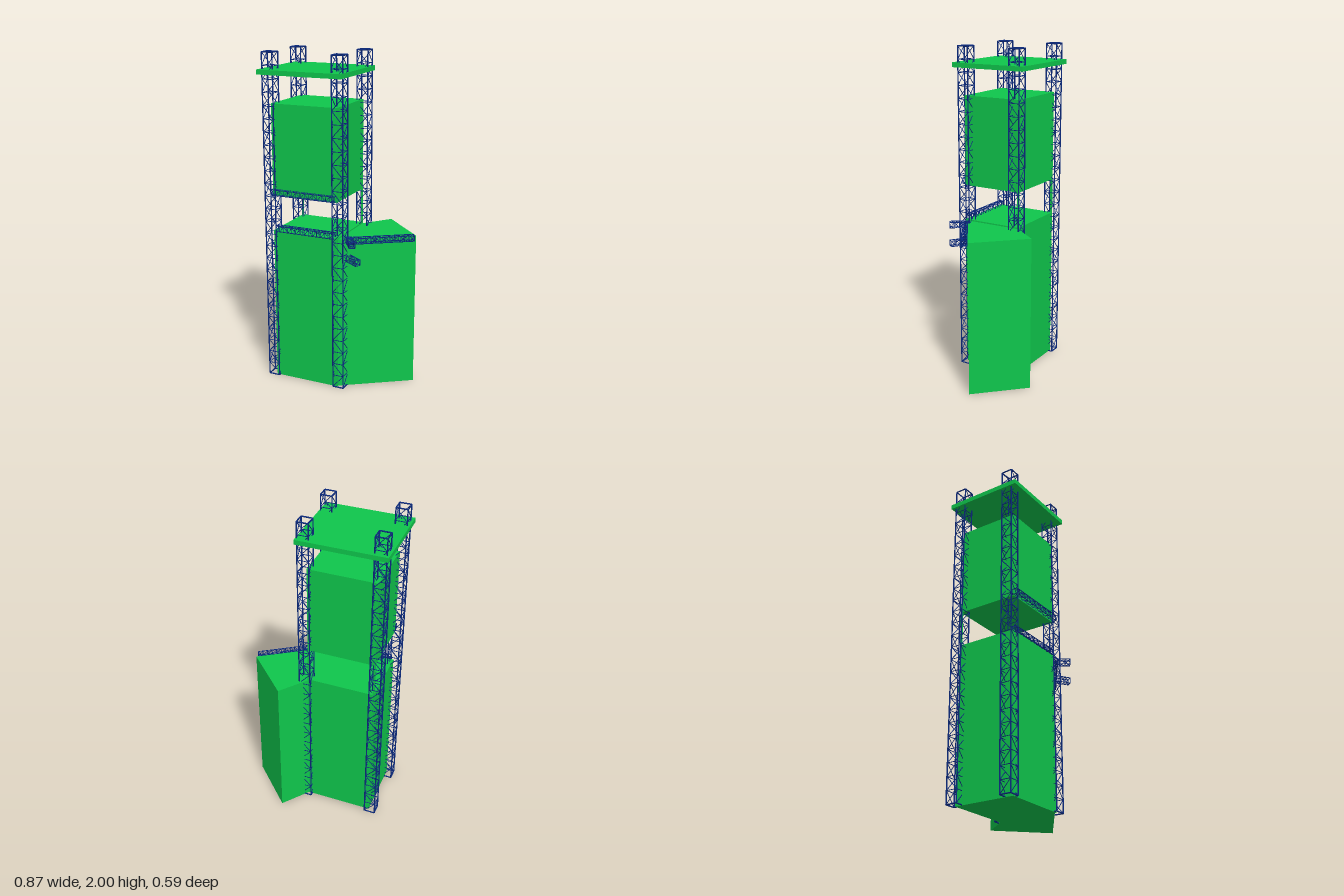
import * as THREE from 'three';
import { mergeGeometries } from 'three/addons/utils/BufferGeometryUtils.js';

const blue = new THREE.MeshStandardMaterial({ color: 0x0a2a80 });
const green = new THREE.MeshStandardMaterial({ color: 0x0fc64c, flatShading: true });
const V = (x, y, z) => new THREE.Vector3(x, y, z);

// Round bar between two points
function bar(a, b, r, sides = 6) {
  const d = b.clone().sub(a);
  const g = new THREE.CylinderGeometry(r, r, d.length(), sides);
  g.applyQuaternion(new THREE.Quaternion().setFromUnitVectors(V(0, 1, 0), d.normalize()));
  const m = a.clone().add(b).multiplyScalar(0.5);
  return g.translate(m.x, m.y, m.z);
}

// Square lattice truss from a to b: four chords, rungs and zigzag braces
function truss(name, a, b, width, cells, chordR, braceR) {
  const dir = b.clone().sub(a).normalize();
  const u = Math.abs(dir.y) > 0.9 ? V(1, 0, 0) : V(0, 1, 0);
  const v = dir.clone().cross(u).normalize();
  const h = width / 2 - chordR;
  const corner = (k, t) => a.clone().lerp(b, t)
    .addScaledVector(u, [h, -h, -h, h][k % 4])
    .addScaledVector(v, [h, h, -h, -h][k % 4]);
  const bars = [];
  for (let k = 0; k < 4; k++) {
    bars.push(bar(corner(k, 0), corner(k, 1), chordR, 8));
    for (let i = 0; i <= cells; i++) {
      const end = i === 0 || i === cells;
      bars.push(bar(corner(k, i / cells), corner(k + 1, i / cells), end ? chordR : braceR));
      if (i === cells) continue;
      const flip = i % 2;
      bars.push(bar(corner(k + flip, i / cells), corner(k + 1 - flip, (i + 1) / cells), braceR));
    }
  }
  const mesh = new THREE.Mesh(mergeGeometries(bars), blue);
  mesh.name = name;
  return mesh;
}

// Box given by its limits
function block(name, x0, x1, y0, y1, z0, z1) {
  const mesh = new THREE.Mesh(new THREE.BoxGeometry(x1 - x0, y1 - y0, z1 - z0), green);
  mesh.position.set((x0 + x1) / 2, (y0 + y1) / 2, (z0 + z1) / 2);
  mesh.name = name;
  return mesh;
}

export function createModel() {
  const model = new THREE.Group();
  model.name = 'latticeTower';

  // Four corner masts
  for (const [side, x] of [['Right', -0.387], ['Left', 0.051]])
    for (const [end, z] of [['back', -0.128], ['front', 0.219]])
      model.add(truss(`${end}${side}Mast`, V(x, 0.004, z), V(x, 1.996, z), 0.076, 26, 0.004, 0.0022));

  // Solid panels and roof
  model.add(block('lowerBlock', -0.375, 0.04, 0, 0.945, -0.137, 0.238));
  model.add(block('upperBlock', -0.375, 0.04, 1.16, 1.705, -0.137, 0.238));
  model.add(block('roof', -0.437, 0.092, 1.872, 1.9, -0.187, 0.291));

  // Thin uprights across the opening, beside the rear masts
  for (const x of [-0.372, 0.037])
    model.add(block('openingUpright', x - 0.004, x + 0.004, 0.94, 1.17, -0.137, -0.125));

  // Angled side wing, extruded upwards from its plan
  const plan = [[0.165, -0.297], [0.04, -0.137], [0.04, 0.226], [0.098, 0.187], [0.428, -0.033]];
  const shape = new THREE.Shape(plan.map(([x, z]) => new THREE.Vector2(x, -z)));
  const wing = new THREE.Mesh(new THREE.ExtrudeGeometry(shape, { depth: 0.937, bevelEnabled: false }), green);
  wing.rotation.x = -Math.PI / 2;
  wing.name = 'sideWing';
  model.add(wing);

  // Horizontal trusses along the front, the wing and the two short brackets
  const beam = (name, a, b, cells) => model.add(truss(name, a, b, 0.038, cells, 0.0025, 0.0016));
  beam('lowerFrontTruss', V(-0.36, 0.957, 0.228), V(0.02, 0.957, 0.228), 14);
  beam('upperFrontTruss', V(-0.375, 1.183, 0.246), V(0.035, 1.183, 0.246), 15);
  beam('wingTruss', V(0.09, 0.931, 0.214), V(0.423, 0.931, -0.008), 14);
  beam('upperBracket', V(0.09, 0.931, 0.185), V(0.155, 0.931, 0.28), 4);
  beam('lowerBracket', V(0.075, 0.822, 0.185), V(0.18, 0.822, 0.257), 4);
  return model;
}
